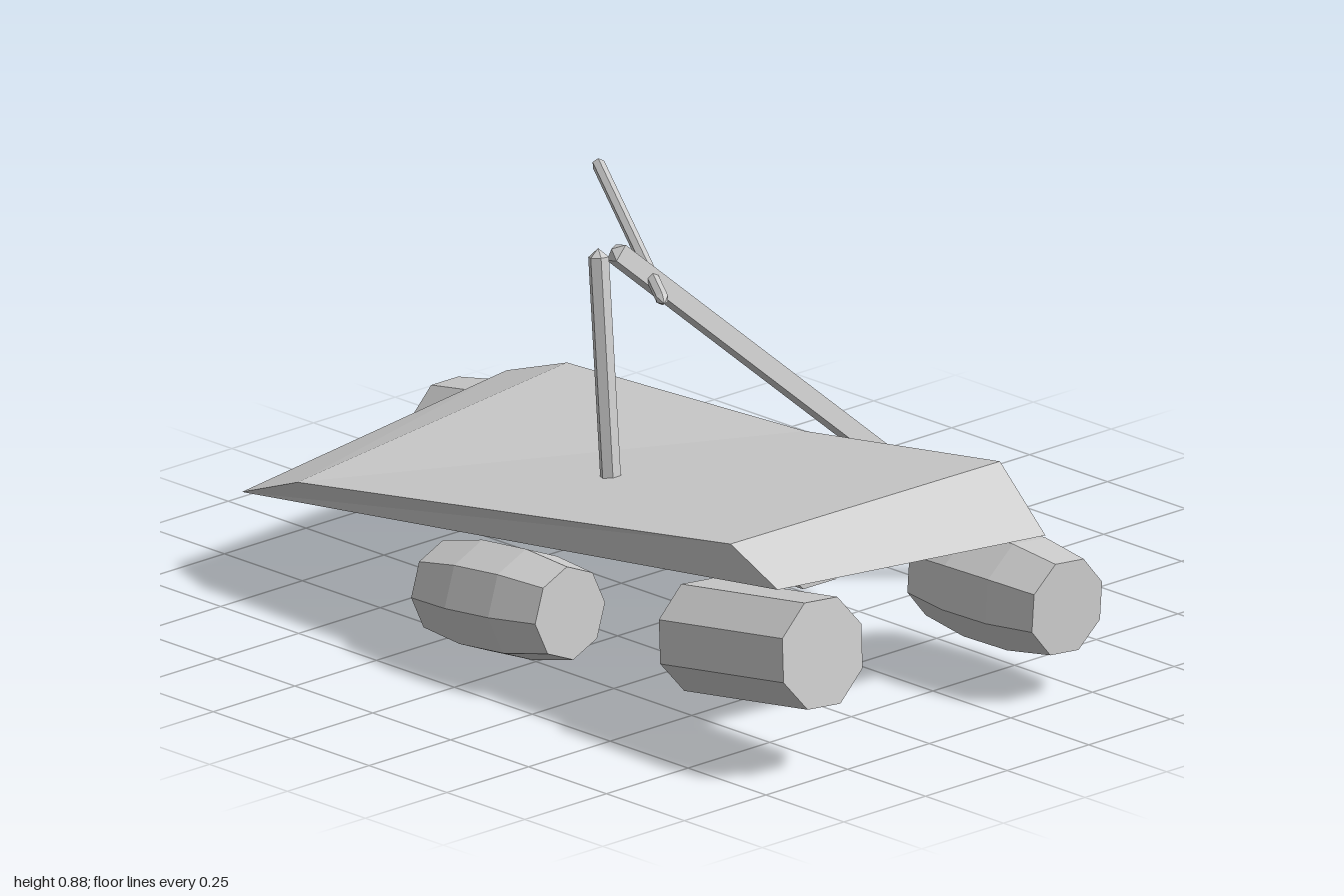
import * as THREE from 'three';

const grey = new THREE.MeshStandardMaterial({ color: 0xcccccc, flatShading: true });
const greyThin = new THREE.MeshStandardMaterial({ color: 0xcccccc, flatShading: true, side: THREE.DoubleSide });

// Faceted barrel lying along x: end radius, middle radius, tilt (degrees), spin
function barrel(name, [x, y, z], end, mid, tilt, spin) {
  const profile = [[0, -0.2], [end, -0.2], [mid, -0.07], [mid, 0.07], [end, 0.2], [0, 0.2]]
    .map(([r, h]) => new THREE.Vector2(r, h));
  const geo = new THREE.LatheGeometry(profile, 8).rotateY(spin);
  const mesh = new THREE.Mesh(geo, grey);
  mesh.name = name;
  mesh.position.set(x, y, z);
  mesh.rotation.z = -Math.PI / 2 + THREE.MathUtils.degToRad(tilt);
  return mesh;
}

// Straight rod between two points; startTip and endTip are the lengths of its pointed ends
function rod(name, from, to, radius, sides, startTip, endTip) {
  const a = new THREE.Vector3(...from), b = new THREE.Vector3(...to);
  const length = a.distanceTo(b);
  const profile = [[0, 0], [radius, startTip], [radius, length - endTip], [0, length]]
    .map(([r, h]) => new THREE.Vector2(r, h));
  const mesh = new THREE.Mesh(new THREE.LatheGeometry(profile, sides), grey);
  mesh.name = name;
  mesh.position.copy(a);
  mesh.quaternion.setFromUnitVectors(new THREE.Vector3(0, 1, 0), b.sub(a).normalize());
  return mesh;
}

// Warped deck with bevelled ends and a sagging back edge
function deck() {
  const points = [
    [-0.86, 0.20, 0.58], [0.87, 0.41, 0.59], [0.87, 0.34, -0.23], [-0.86, 0.29, -0.23], // lower rim
    [-0.65, 0.283, 0.61], [0.745, 0.492, 0.615], [0.745, 0.487, -0.21], [-0.65, 0.365, -0.215], // upper rim
    [0.12, 0.4, -0.21], [0, 0.31, 0.18], // back sag, underside centre
  ];
  const faces = [
    0, 1, 5, 0, 5, 4, // front
    1, 2, 6, 1, 6, 5, // +x end
    2, 3, 8, 2, 8, 6, 3, 7, 8, // back
    3, 0, 4, 3, 4, 7, // -x end
    4, 5, 8, 5, 6, 8, 4, 8, 7, // top
    0, 9, 1, 1, 9, 2, 2, 9, 3, 3, 9, 0, // underside
  ];
  let geo = new THREE.BufferGeometry();
  geo.setAttribute('position', new THREE.Float32BufferAttribute(points.flat(), 3));
  geo.setIndex(faces);
  geo = geo.toNonIndexed();
  geo.computeVertexNormals();
  const mesh = new THREE.Mesh(geo, greyThin);
  mesh.name = 'deck';
  return mesh;
}

export function createModel() {
  const model = new THREE.Group();
  model.name = 'raft';
  model.add(deck());

  // Five barrels carrying the deck
  model.add(
    barrel('frontMiddleBarrel', [0.01, 0.17, 0.595], 0.107, 0.128, 5.5, 0),
    barrel('frontEndBarrel', [0.8, 0.262, 0.575], 0.13, 0.13, 8, 0.3),
    barrel('backLowBarrel', [-0.8, 0.145, -0.175], 0.108, 0.132, 0.5, 0.39),
    barrel('backMiddleBarrel', [0, 0.185, -0.175], 0.13, 0.13, 1.5, 0.39),
    barrel('backEndBarrel', [0.8, 0.215, -0.172], 0.113, 0.132, 1, 0.3),
  );

  // Mast, yard and long steering oar
  model.add(
    rod('mast', [0.005, 0.36, 0.275], [-0.092, 0.88, 0.222], 0.024, 6, 0.01, 0.02),
    rod('yard', [-0.645, 0.822, -0.3], [0.09, 0.788, 0.192], 0.015, 6, 0.03, 0.03),
    rod('oar', [-0.088, 0.87, 0.185], [0.333, 0, -0.715], 0.03, 4, 0.015, 0.06),
  );
  return model;
}
